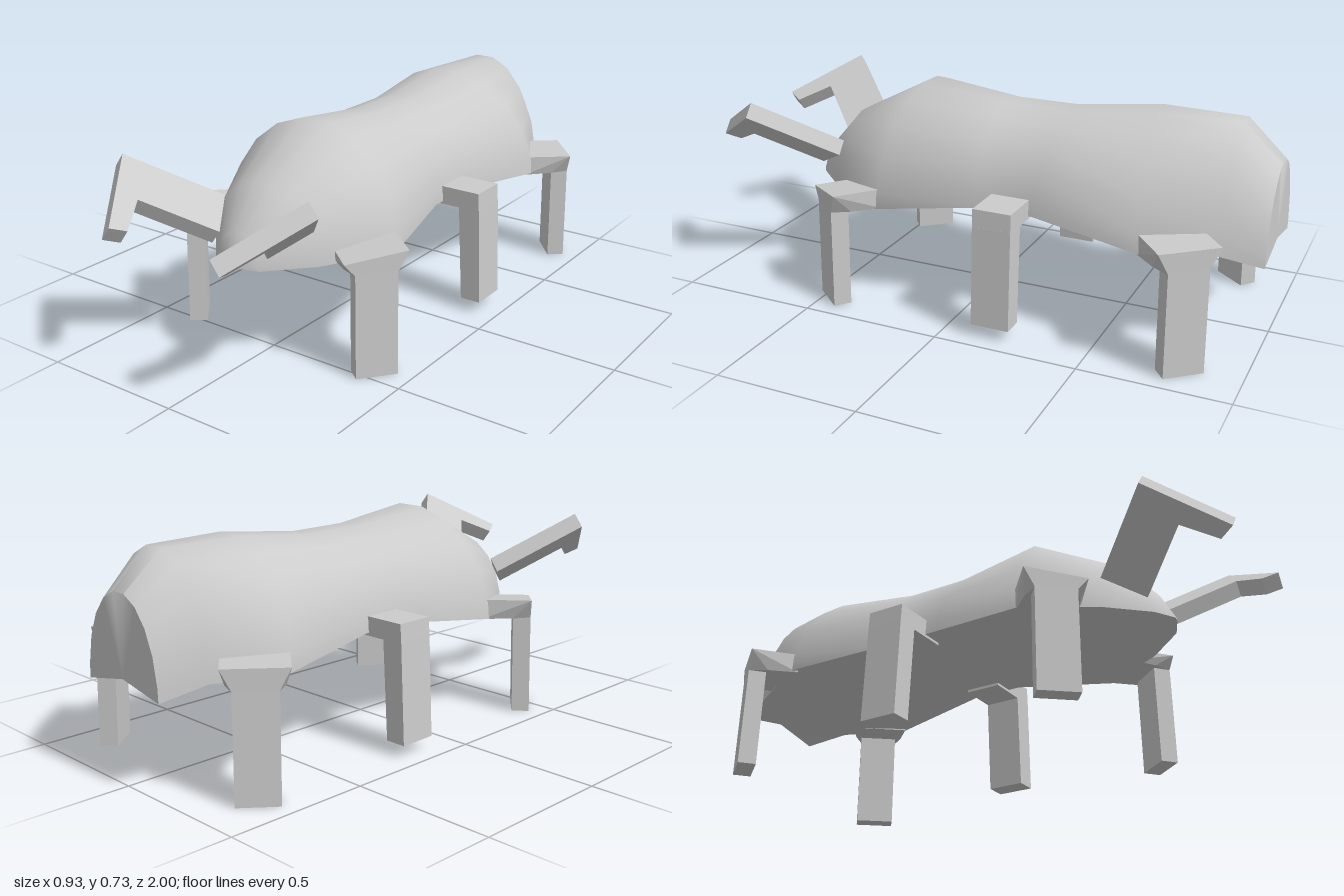
import * as THREE from 'three';
import { toCreasedNormals } from 'three/addons/utils/BufferGeometryUtils.js';
import { ConvexGeometry } from 'three/addons/geometries/ConvexGeometry.js';

const grey = new THREE.MeshStandardMaterial({ color: 0xcccccc });

// Domed body lofted through half-elliptical sections, nose to tail
function bodyGeometry() {
  // [z at base, z at crown, half width, base y, crown y, y under the middle]
  const sections = [
    [0.70, 0.70, 0.015, 0.36, 0.37, 0.365],
    [0.665, 0.65, 0.09, 0.355, 0.46, 0.36],
    [0.53, 0.53, 0.215, 0.355, 0.59, 0.355],
    [0.30, 0.26, 0.35, 0.355, 0.73, 0.355],
    [-0.06, -0.05, 0.28, 0.395, 0.695, 0.395],
    [-0.25, -0.28, 0.28, 0.395, 0.695, 0.395],
    [-0.65, -0.58, 0.35, 0.36, 0.73, 0.36],
    [-0.86, -0.87, 0.235, 0.35, 0.73, 0.352],
    [-1.0, -1.0, 0.18, 0.31, 0.61, 0.345],
  ];
  const angles = [0, 9, 27, 45, 63, 81, 99, 117, 135, 153, 171, 180];
  const n = angles.length + 1;
  const positions = [], index = [];
  for (const [zBase, zTop, w, base, top, mid] of sections) {
    for (const deg of angles) {
      const a = THREE.MathUtils.degToRad(deg), s = Math.sin(a) / Math.sin(THREE.MathUtils.degToRad(81));
      positions.push(w * Math.cos(a), base + (top - base) * s, zBase + (zTop - zBase) * s);
    }
    positions.push(0, mid, zBase);
  }
  const last = (sections.length - 1) * n;
  for (let i = 0; i < last; i += n) {
    for (let j = 0; j < n; j++) {
      const k = (j + 1) % n;
      const a = i + j, b = i + k, c = i + n + k, d = i + n + j;
      index.push(a, d, b, b, d, c);
    }
  }
  // End caps, fanned from the middle of the belly
  for (let j = 0; j < n - 2; j++) {
    index.push(n - 1, j, j + 1);
    index.push(last + n - 1, last + j + 1, last + j);
  }
  const geometry = new THREE.BufferGeometry();
  geometry.setAttribute('position', new THREE.Float32BufferAttribute(positions, 3));
  geometry.setIndex(index);
  return toCreasedNormals(geometry, 0.85);
}

// Flat-faced block from its corners; side = -1 mirrors it across x
function block(name, corners, side) {
  const points = corners.map(([x, y, z]) => new THREE.Vector3(x * side, y, z));
  const mesh = new THREE.Mesh(new ConvexGeometry(points), grey);
  mesh.name = name;
  return mesh;
}

function part(name, ...meshes) {
  const group = new THREE.Group();
  group.name = name;
  group.add(...meshes);
  return group;
}

// Angled corner leg: flared shoulder plate on a thin post
function cornerLeg(name, side, toZ, slope) {
  const n = [0.77, 0.64], t = [-0.64, 0.77];
  const at = (out, along, y) => [0.397 + n[0] * out + t[0] * along, y, toZ(0.472 + n[1] * out + t[1] * along)];
  const shoulder = [], post = [];
  for (const s of [-1, 1]) {
    const top = 0.425 - (s > 0 ? slope : 0);
    shoulder.push(
      at(0, s * 0.104, top), at(-0.17, s * 0.104, top),
      at(-0.17, s * 0.104, 0.355), at(-0.065, s * 0.09, 0.355), at(0, s * 0.068, 0.355));
    for (const [y, shift] of [[0.36, 0], [0.003, 0.006]]) {
      post.push(at(shift, s * 0.069, y), at(shift - 0.062, s * 0.069, y));
    }
  }
  return part(name, block('shoulder', shoulder, side), block('post', post, side));
}

// Middle leg: straight arm with a post leaning slightly outward
function middleLeg(side) {
  const arm = [], post = [];
  for (const z of [-0.24, -0.105]) {
    arm.push([0.2, 0.45, z], [0.42, 0.45, z], [0.424, 0.385, z], [0.2, 0.385, z]);
    post.push([0.345, 0.39, z], [0.424, 0.39, z], [0.44, 0.045, z], [0.365, 0.045, z]);
  }
  return part('middleLeg', block('arm', arm, side), block('post', post, side));
}

// Hooked jaw cut from a tilted slab
function jaw(side) {
  const slab = (outline) => outline.flatMap(([x, z]) => {
    const y = 0.445 + 0.81 * (x - 0.08);
    return [[x, y, z], [x + 0.034, y - 0.045, z]];
  });
  const elbow = [0.37, 0.77], crook = [0.24, 0.84];
  return part('jaw',
    block('jawArm', slab([[0.08, 0.655], [0.165, 0.53], elbow, crook]), side),
    block('jawTip', slab([crook, elbow, [0.2, 1.0], [0.175, 0.95]]), side));
}

export function createModel() {
  const model = new THREE.Group();
  model.name = 'beetle';
  const body = new THREE.Mesh(bodyGeometry(), grey);
  body.name = 'body';
  model.add(body);
  for (const side of [1, -1]) {
    model.add(
      cornerLeg('frontLeg', side, (z) => z, 0.028),
      middleLeg(side),
      cornerLeg('backLeg', side, (z) => -0.345 - z, 0),
      jaw(side));
  }
  return model;
}
